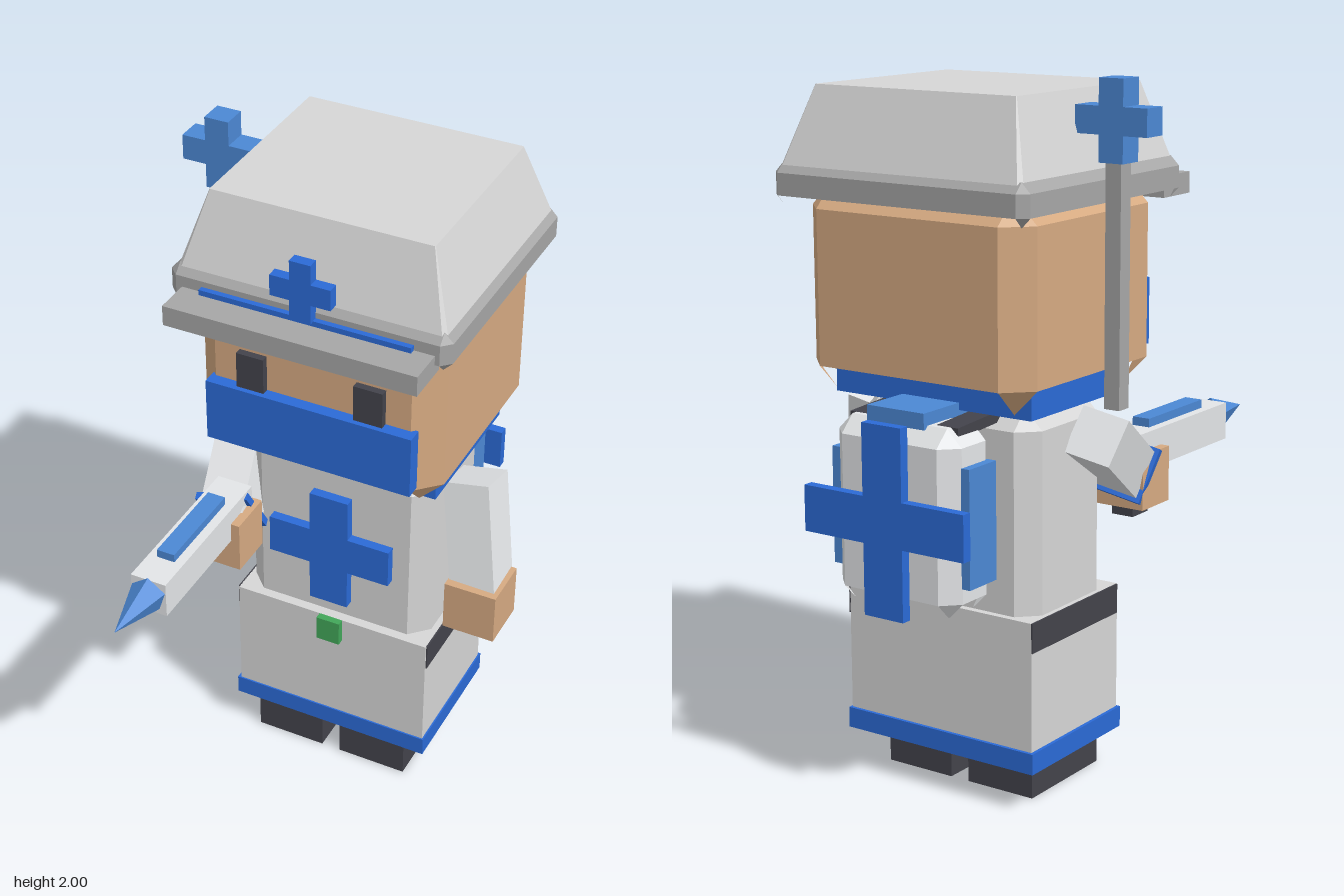
import * as THREE from 'three';

const mat = (name, color, open = false) => {
  const m = new THREE.MeshStandardMaterial({ color, flatShading: true });
  m.name = name;
  if (open) m.side = THREE.DoubleSide;
  return m;
};

export function createModel() {
  const cloth = mat('light grey cloth', 0xd6d6d6, true);
  const white = mat('off-white', 0xe4e6e8, true);
  const grey = mat('mid grey', 0xa6a6a6, true);
  const skin = mat('skin', 0xd6aa82, true);
  const blue = mat('blue', 0x2b6ad6);
  const sky = mat('light blue', 0x4c88d4);
  const dark = mat('charcoal', 0x43434b);
  const green = mat('green', 0x42a659);

  const model = new THREE.Group();
  model.name = 'medicFigure';

  const add = (name, geometry, material, parent = model) => {
    const mesh = new THREE.Mesh(geometry, material);
    mesh.name = name;
    parent.add(mesh);
    return mesh;
  };

  // Box given by its limits on each axis
  const box = (name, material, x0, x1, y0, y1, z0, z1, parent = model) => {
    const mesh = add(name, new THREE.BoxGeometry(x1 - x0, y1 - y0, z1 - z0), material, parent);
    mesh.position.set((x0 + x1) / 2, (y0 + y1) / 2, (z0 + z1) / 2);
    return mesh;
  };

  // Eight-point ring at height y; cut b trims the corners, inset shrinks it
  const ring = (x0, x1, z0, z1, y, b, inset = 0) => {
    x0 += inset; x1 -= inset; z0 += inset; z1 -= inset;
    return [
      [x0 + b, y, z1], [x1 - b, y, z1], [x1, y, z1 - b], [x1, y, z0 + b],
      [x1 - b, y, z0], [x0 + b, y, z0], [x0, y, z0 + b], [x0, y, z1 - b],
    ];
  };

  // Walls between stacked rings, with optional caps and corner tips below
  const loft = (rings, { top = true, bottom = true, tips = null } = {}) => {
    const p = [];
    const tri = (a, b, c) => p.push(...a, ...b, ...c);
    for (let r = 0; r < rings.length - 1; r++) {
      for (let i = 0; i < 8; i++) {
        const j = (i + 1) % 8, lo = rings[r], up = rings[r + 1];
        tri(lo[i], lo[j], up[j]);
        tri(lo[i], up[j], up[i]);
      }
    }
    const first = rings[0], last = rings[rings.length - 1];
    for (let i = 1; i < 7; i++) {
      if (top) tri(last[0], last[i], last[i + 1]);
      if (bottom) tri(first[0], first[i + 1], first[i]);
    }
    if (tips) for (let i = 1; i < 8; i += 2) tri(first[i], tips[i], first[(i + 1) % 8]);
    const g = new THREE.BufferGeometry();
    g.setAttribute('position', new THREE.Float32BufferAttribute(p, 3));
    g.computeVertexNormals();
    return g;
  };

  // Bevelled block whose lower corners end in small points
  const bevelBox = (name, material, x0, x1, y0, y1, z0, z1, b, opts = {}) =>
    add(name, loft([
      ring(x0, x1, z0, z1, y0 + b, b),
      ring(x0, x1, z0, z1, y1 - b, b),
      ring(x0, x1, z0, z1, y1, 0, b),
    ], { tips: ring(x0, x1, z0, z1, y0, 0, b), ...opts }), material);

  // Plus-shaped plate
  const cross = (name, material, x, y, z0, z1, size, arm) => {
    const s = size / 2, a = arm / 2;
    const pts = [[-a, -s], [a, -s], [a, -a], [s, -a], [s, a], [a, a],
      [a, s], [-a, s], [-a, a], [-s, a], [-s, -a], [-a, -a]];
    const shape = new THREE.Shape(pts.map(([u, v]) => new THREE.Vector2(u, v)));
    const g = new THREE.ExtrudeGeometry(shape, { depth: z1 - z0, bevelEnabled: false });
    add(name, g, material).position.set(x, y, z0);
  };

  // Square limb between two points
  const limb = (name, material, from, to, w) => {
    const a = new THREE.Vector3(...from), b = new THREE.Vector3(...to);
    const mesh = add(name, new THREE.BoxGeometry(w, a.distanceTo(b), w), material);
    mesh.position.copy(a).add(b).multiplyScalar(0.5);
    mesh.quaternion.setFromUnitVectors(new THREE.Vector3(0, 1, 0), a.clone().sub(b).normalize());
    return mesh;
  };

  // Feet and robe
  box('rightFoot', dark, -0.22, 0, 0, 0.12, -0.37, -0.04);
  box('leftFoot', dark, 0.06, 0.28, 0, 0.12, -0.37, -0.04);
  box('robeTrim', blue, -0.29, 0.35, 0.12, 0.18, -0.47, -0.025);
  box('robeSkirt', cloth, -0.28, 0.345, 0.18, 0.55, -0.46, -0.03);
  box('leftBelt', dark, 0.344, 0.349, 0.465, 0.55, -0.46, -0.035);
  box('rightBelt', dark, -0.284, -0.279, 0.465, 0.55, -0.46, -0.035);
  box('buckle', green, -0.005, 0.07, 0.47, 0.55, -0.03, -0.008);

  // Torso
  bevelBox('torso', cloth, -0.265, 0.325, 0.49, 1.12, -0.44, -0.06, 0.055);
  cross('chestCross', blue, 0.033, 0.818, -0.04, -0.01, 0.385, 0.122);
  box('collar', blue, -0.295, 0.36, 1.115, 1.2, -0.48, -0.02);

  // Head and face
  bevelBox('head', skin, -0.34, 0.4, 1.135, 1.71, -0.59, 0.09, 0.073);
  box('rightEye', dark, -0.19, -0.107, 1.4, 1.52, 0.08, 0.112);
  box('leftEye', dark, 0.165, 0.252, 1.4, 1.52, 0.08, 0.112);
  box('faceMask', blue, -0.28, 0.345, 1.22, 1.41, 0.08, 0.127);

  // Forehead tab under the visor
  const tab = new THREE.Shape([[-0.04, 1.65], [-0.04, 1.6], [0, 1.56], [0.062, 1.56], [0.1, 1.6], [0.1, 1.65]]
    .map(([x, y]) => new THREE.Vector2(x, y)));
  add('foreheadTab', new THREE.ExtrudeGeometry(tab, { depth: 0.009, bevelEnabled: false }), grey).position.z = 0.09;
  box('visorKnob', grey, 0, 0.06, 1.605, 1.65, 0.145, 0.175);

  // Hat: hollow crown, rim, visor and badge
  add('hatCrown', loft([
    ring(-0.365, 0.43, -0.625, 0.115, 1.74, 0.012),
    ring(-0.297, 0.357, -0.547, 0.04, 1.965, 0.002),
  ], { bottom: false }), cloth);
  bevelBox('hatRim', grey, -0.385, 0.445, 1.645, 1.76, -0.64, 0.13, 0.027, { top: false, bottom: false });
  box('visor', grey, -0.34, 0.405, 1.64, 1.7, 0.1, 0.238);
  box('hatBand', blue, -0.28, 0.345, 1.68, 1.716, 0.12, 0.147);
  cross('hatBadge', blue, 0.031, 1.802, 0.127, 0.16, 0.178, 0.062);

  // Left arm, hanging
  limb('leftSleeve', white, [0.39, 1.06, -0.24], [0.462, 0.7, -0.16], 0.14);
  box('leftHand', skin, 0.375, 0.535, 0.61, 0.77, -0.24, -0.08);

  // Right arm, reaching forward
  limb('rightSleeve', white, [-0.335, 1.03, -0.23], [-0.268, 0.86, 0.04], 0.14);
  limb('rightCuff', blue, [-0.278, 0.885, 0.0], [-0.273, 0.875, 0.02], 0.165);
  box('rightHand', skin, -0.35, -0.185, 0.77, 0.93, -0.01, 0.13);

  // Injector held in the right hand
  const injector = new THREE.Group();
  injector.name = 'injector';
  model.add(injector);
  box('injectorBarrel', white, -0.322, -0.212, 0.87, 0.98, 0, 0.505, injector);
  box('injectorStripe', sky, -0.295, -0.24, 0.98, 1.005, 0.11, 0.405, injector);
  box('injectorGrip', dark, -0.305, -0.235, 0.74, 0.88, 0.01, 0.09, injector);
  const tip = add('injectorTip', new THREE.CylinderGeometry(0, 0.055, 0.185, 5), sky, injector);
  tip.rotation.set(Math.PI / 2, Math.PI, 0, 'XYZ');
  tip.position.set(-0.267, 0.932, 0.5975);

  // Backpack with straps, side panels and cross
  bevelBox('backpack', white, -0.17, 0.24, 0.58, 1.1, -0.665, -0.465, 0.047);
  for (const [side, x] of [['right', -0.18], ['left', 0.25]]) {
    box(side + 'PackPanel', sky, x - 0.015, x + 0.015, 0.67, 1.0, -0.62, -0.5);
  }
  for (const [side, x] of [['right', -0.11], ['left', 0.18]]) {
    const strap = box(side + 'Strap', dark, x - 0.035, x + 0.035, 1.08, 1.11, -0.6, -0.27);
    strap.rotation.x = -0.06;
  }
  box('packHandle', sky, -0.06, 0.13, 1.09, 1.135, -0.635, -0.44);
  cross('packCross', blue, 0.033, 0.838, -0.7, -0.67, 0.533, 0.13);

  // Staff beside the head
  box('staffPole', grey, -0.455, -0.408, 1.13, 1.79, -0.305, -0.258);
  cross('staffCross', sky, -0.432, 1.892, -0.32, -0.245, 0.218, 0.074);

  return model;
}
